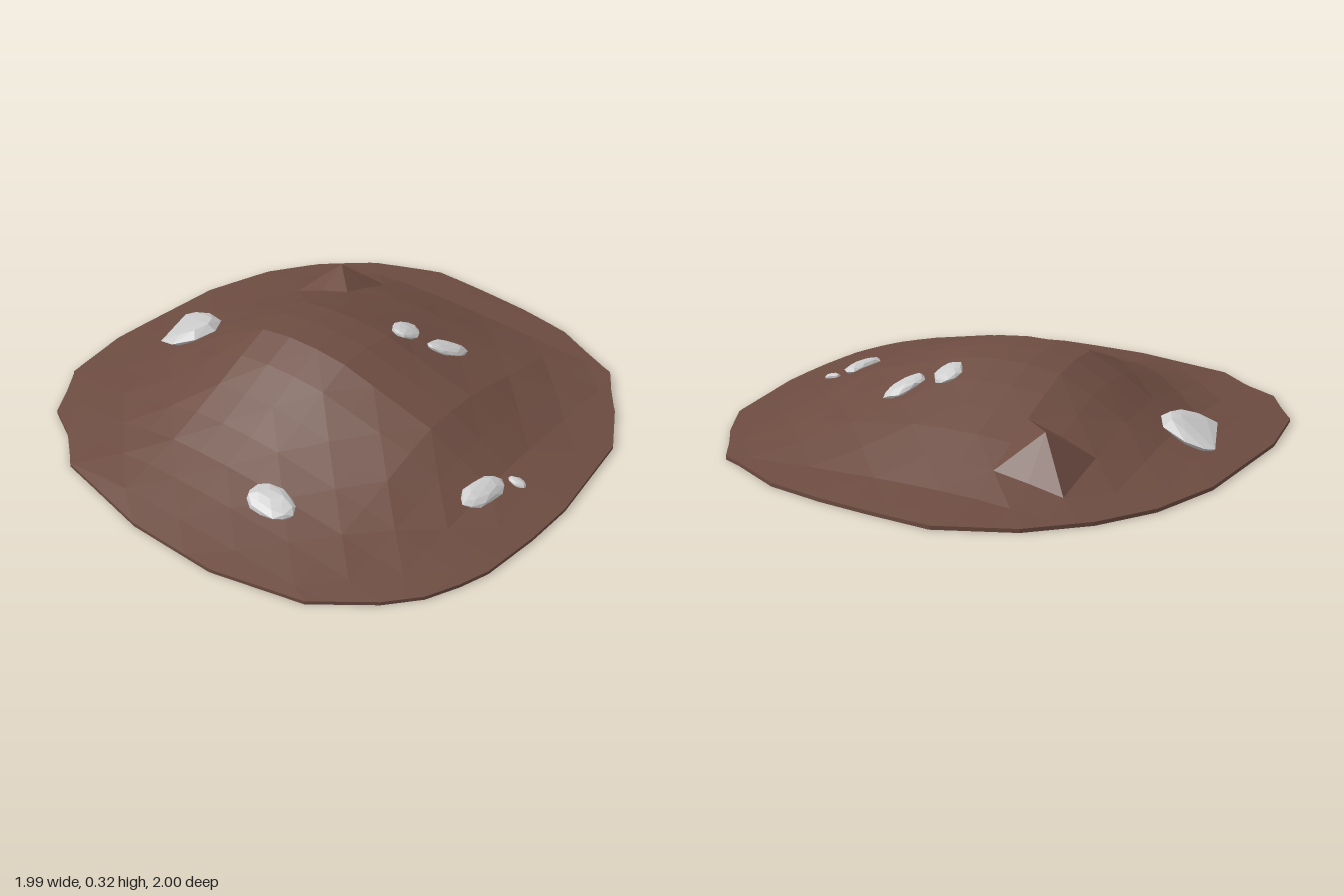
import * as THREE from 'three';
import { ConvexGeometry } from 'three/addons/geometries/ConvexGeometry.js';

// Ground outline, [x, z]
const OUTLINE = [
  [-0.24, -1], [0, -0.99], [0.2, -0.975], [0.42, -0.94], [0.63, -0.84], [0.71, -0.81], [0.79, -0.68],
  [0.85, -0.6], [0.95, -0.41], [0.99, 0], [0.98, 0.2], [0.95, 0.43], [0.91, 0.54], [0.85, 0.66],
  [0.75, 0.77], [0.55, 0.92], [0.2, 1], [-0.16, 0.99], [-0.43, 0.93], [-0.57, 0.9], [-0.69, 0.79],
  [-0.84, 0.71], [-0.94, 0.53], [-0.975, 0.49], [-1, 0.21], [-0.94, -0.28], [-0.84, -0.54],
  [-0.7, -0.73], [-0.51, -0.89],
];
// Height profiles along x and along z, [position, height]
const PROFILE_X = [[-1, 0.015], [-0.85, 0.035], [-0.72, 0.06], [-0.6, 0.12], [-0.44, 0.225], [-0.29, 0.305],
  [-0.16, 0.32], [-0.03, 0.32], [0.1, 0.305], [0.25, 0.26], [0.5, 0.19], [0.7, 0.07], [0.82, 0.04], [1, 0.015]];
const PROFILE_Z = [[-1, 0.015], [-0.8, 0.045], [-0.65, 0.11], [-0.55, 0.155], [-0.43, 0.2], [-0.3, 0.25],
  [-0.14, 0.305], [0, 0.32], [0.13, 0.315], [0.27, 0.25], [0.4, 0.19], [0.55, 0.125], [0.65, 0.09],
  [0.82, 0.045], [1, 0.015]];
const PEAK = 0.32, RIM = 0.015, STEP = 0.13;
const SPIKE = { x: -0.43, y: 0.212, z: -0.54 };

function sample(profile, t) {
  for (let i = 1; i < profile.length; i++) {
    const [a, ya] = profile[i - 1], [b, yb] = profile[i];
    if (t <= b) return THREE.MathUtils.lerp(ya, yb, Math.max(0, (t - a) / (b - a)));
  }
  return RIM;
}

// Distance from the centre as a fraction of the outline: 1 is on the edge
function fraction(x, z) {
  let f = 0;
  OUTLINE.forEach(([ax, az], i) => {
    const [bx, bz] = OUTLINE[(i + 1) % OUTLINE.length];
    const det = ax * bz - az * bx;
    const s = (x * bz - z * bx) / det, t = (ax * z - az * x) / det;
    if (s >= -1e-9 && t >= -1e-9) f = s + t;
  });
  return f;
}

function height(x, z) {
  const mound = sample(PROFILE_X, x) * sample(PROFILE_Z, z) / PEAK;
  const skirt = RIM + 0.13 * Math.min(0.2, Math.max(0, 1 - fraction(x, z)));
  return Math.max(mound, skirt);
}

// Square grid of ground, its outer points drawn in to the outline
function moundGeometry() {
  const n = 18, x0 = SPIKE.x - 5 * STEP, z0 = SPIKE.z - 4 * STEP;
  const positions = [], inside = [], index = [];
  for (let j = 0; j < n; j++) {
    for (let i = 0; i < n; i++) {
      let x = x0 + i * STEP, z = z0 + j * STEP;
      const f = fraction(x, z);
      inside.push(f < 1);
      if (f > 0.97) { x /= f; z /= f; }
      const onSpike = i === 5 && j === 4;
      positions.push(x, onSpike ? SPIKE.y : f > 0.97 ? RIM : height(x, z), z);
    }
  }
  for (let j = 0; j < n - 1; j++) {
    for (let i = 0; i < n - 1; i++) {
      const a = j * n + i, b = a + n, c = b + 1, d = a + 1;
      if (![a, b, c, d].some((k) => inside[k])) continue;
      // Diagonals alternate so the facets do not all lean one way
      if ((i + j) % 2) index.push(a, b, c, a, c, d);
      else index.push(a, b, d, b, c, d);
    }
  }
  const geometry = new THREE.BufferGeometry();
  geometry.setAttribute('position', new THREE.Float32BufferAttribute(positions, 3));
  geometry.setIndex(index);
  geometry.computeVertexNormals();
  return geometry;
}

// Flattened pebble with slightly uneven corners
function pebbleGeometry(seed) {
  const geometry = new THREE.IcosahedronGeometry(1, 1);
  const p = geometry.attributes.position;
  const v = new THREE.Vector3();
  for (let i = 0; i < p.count; i++) {
    v.fromBufferAttribute(p, i);
    v.multiplyScalar(1 + 0.07 * Math.sin(3 * v.x + 4 * v.y + 5 * v.z + seed));
    p.setXYZ(i, v.x, v.y, v.z);
  }
  geometry.computeVertexNormals();
  return geometry;
}

// Angular slab: an upper and a lower ring, rising toward the mound
function slabGeometry() {
  const ring = [[-0.86, -0.04], [-0.83, -0.07], [-0.76, -0.08], [-0.66, -0.04],
    [-0.62, 0.04], [-0.65, 0.13], [-0.72, 0.19], [-0.79, 0.18]];
  const points = [];
  for (const [x, z] of ring) {
    const y = 0.05 + (x + 0.86) * 0.26;
    points.push(new THREE.Vector3(x, y, z));
    points.push(new THREE.Vector3(-0.72 + (x + 0.72) * 0.65, y + 0.022, 0.05 + (z - 0.05) * 0.65));
    points.push(new THREE.Vector3(-0.72 + (x + 0.72) * 0.7, y - 0.03, 0.05 + (z - 0.05) * 0.7));
  }
  points.push(new THREE.Vector3(-0.7, 0.125, 0.04));
  return new ConvexGeometry(points);
}

export function createModel() {
  const group = new THREE.Group();
  const soil = new THREE.MeshStandardMaterial({ color: 0x6d4c41, flatShading: true, side: THREE.DoubleSide });
  const stone = new THREE.MeshStandardMaterial({ color: 0xcccccc, flatShading: true });
  const add = (name, geometry, material) => {
    const mesh = new THREE.Mesh(geometry, material);
    mesh.name = name;
    group.add(mesh);
    return mesh;
  };

  add('mound', moundGeometry(), soil);

  // Thin plate closing the underside and rim
  const shape = new THREE.Shape(OUTLINE.map(([x, z]) => new THREE.Vector2(x, -z)));
  const plate = new THREE.ExtrudeGeometry(shape, { depth: RIM - 0.001, bevelEnabled: false });
  add('base', plate.rotateX(-Math.PI / 2), soil);

  add('largeRock', slabGeometry(), stone);

  // Pebbles lying on the slope: x, z, half sizes across, up and along, turn
  const pebbles = [
    ['frontRock', 0.2, 0.67, 0.098, 0.025, 0.065, 0],
    ['leftRock', 0.74, 0.155, 0.052, 0.025, 0.1, -0.17],
    ['leftPebble', 0.8, 0.02, 0.035, 0.014, 0.02, 0.15],
    ['backRock', 0.1, -0.26, 0.054, 0.02, 0.068, 0],
    ['backLeftRock', 0.25, -0.325, 0.047, 0.02, 0.088, -0.6],
  ];
  const up = new THREE.Vector3(0, 1, 0);
  pebbles.forEach(([name, x, z, sx, sy, sz, turn], i) => {
    const rock = add(name, pebbleGeometry(i * 1.7), stone);
    const e = 0.08;
    const normal = new THREE.Vector3(height(x - e, z) - height(x + e, z), 2 * e,
      height(x, z - e) - height(x, z + e)).normalize();
    rock.position.set(x, height(x, z) + sy * 0.35, z);
    rock.scale.set(sx, sy, sz);
    rock.quaternion.setFromUnitVectors(up, normal)
      .multiply(new THREE.Quaternion().setFromAxisAngle(up, turn));
  });
  return group;
}
